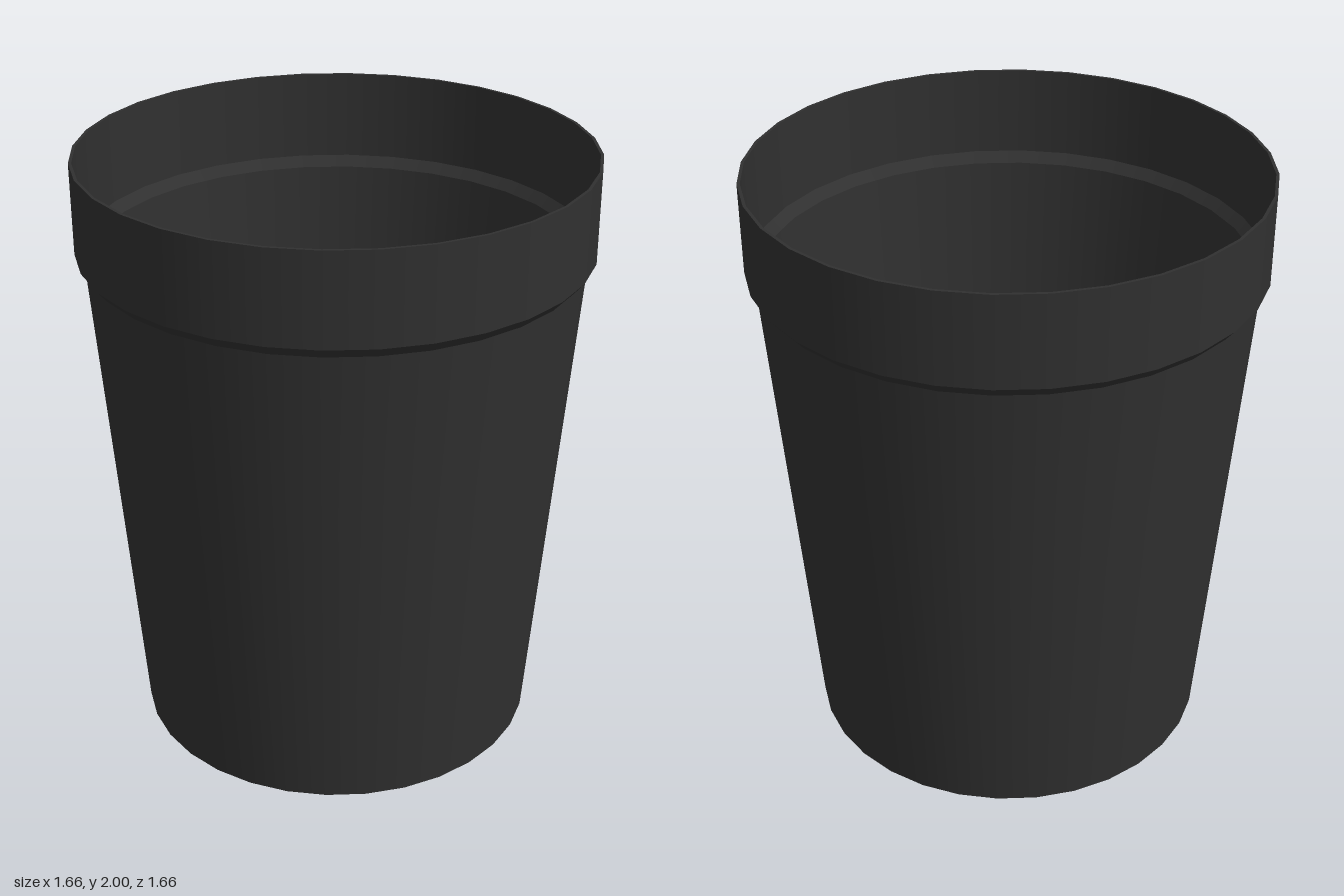
import * as THREE from 'three';
import { mergeGeometries } from 'three/addons/utils/BufferGeometryUtils.js';

const SIDES = 32;

// Revolves each straight run of the profile separately, so edges stay sharp
// while the surface is smooth around the axis.
function revolve(profile) {
  const points = profile.map(([r, y]) => new THREE.Vector2(r, y));
  const bands = [];
  for (let i = 0; i < points.length - 1; i++) {
    bands.push(new THREE.LatheGeometry([points[i], points[i + 1]], SIDES));
  }
  return mergeGeometries(bands);
}

export function createModel() {
  const group = new THREE.Group();
  group.name = 'cup';
  const charcoal = new THREE.MeshStandardMaterial({ color: 0x303030 });
  charcoal.name = 'charcoal';

  const add = (name, profile) => {
    const mesh = new THREE.Mesh(revolve(profile), charcoal);
    mesh.name = name;
    group.add(mesh);
  };

  // Underside and tapered outer wall
  add('outerBody', [[0, 0], [0.672, 0], [0.803, 1.665]]);
  // Flared step, upright collar, thin lip and the matching inner step
  add('rim', [[0.803, 1.665], [0.832, 1.7], [0.832, 2], [0.822, 2], [0.822, 1.702], [0.792, 1.668]]);
  // Tapered inner wall and floor
  add('innerBody', [[0.792, 1.668], [0.662, 0.01], [0, 0.01]]);

  return group;
}
